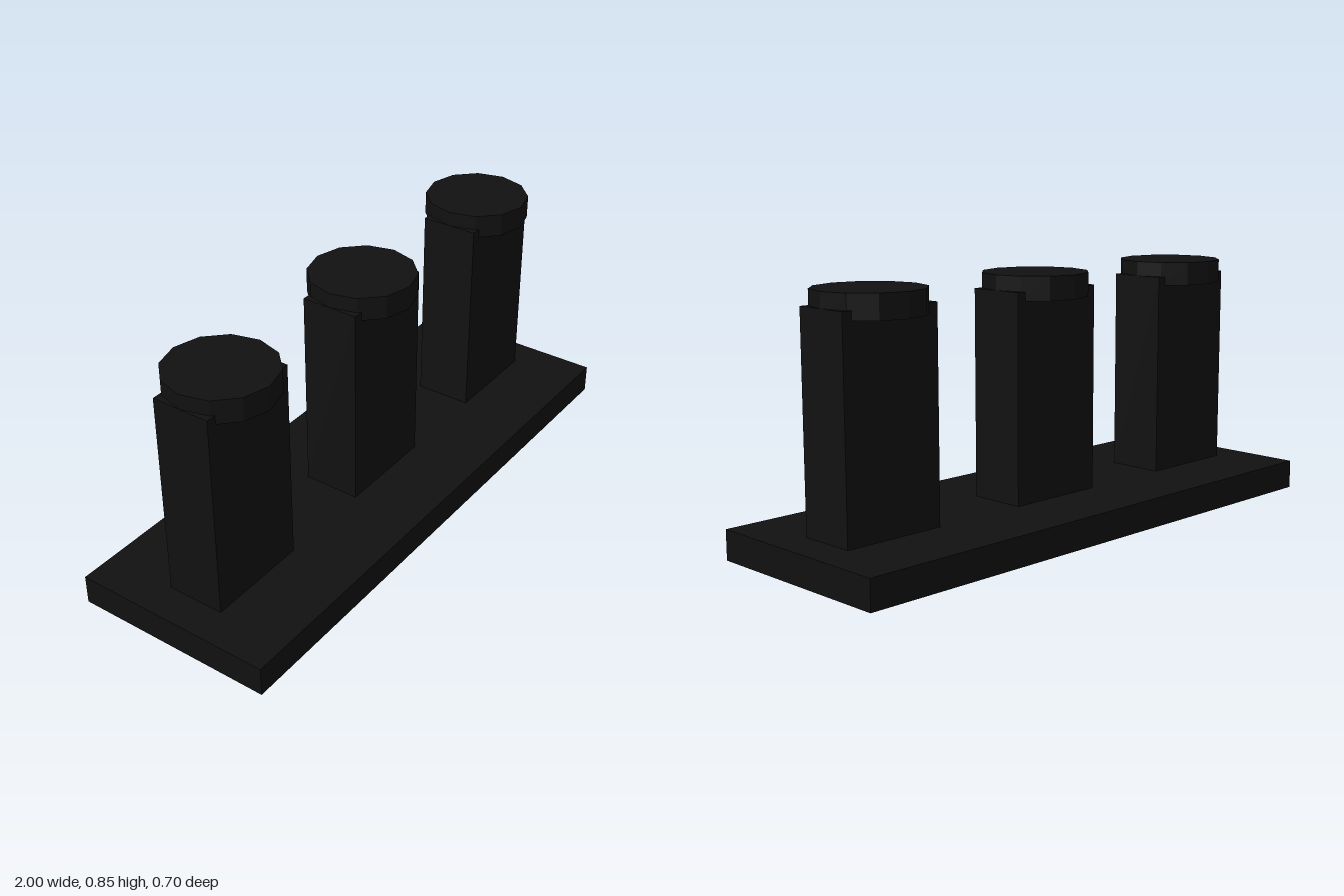
import * as THREE from 'three';

export function createModel() {
  const model = new THREE.Group();
  const material = new THREE.MeshStandardMaterial({ color: 0x111111, flatShading: true });

  function addPart(parent, name, geometry, y) {
    const mesh = new THREE.Mesh(geometry, material);
    mesh.name = name;
    mesh.position.y = y;
    parent.add(mesh);
  }

  // Flat base plate
  addPart(model, 'basePlate', new THREE.BoxGeometry(2, 0.1, 0.7), 0.05);

  // Three posts, each with a twelve-sided cap sunk slightly over the top
  const postGeometry = new THREE.BoxGeometry(0.36, 0.7, 0.2);
  const capGeometry = new THREE.CylinderGeometry(0.18, 0.18, 0.08, 12);
  for (const x of [-0.7, 0, 0.7]) {
    const post = new THREE.Group();
    post.name = 'cappedPost';
    post.position.x = x;
    addPart(post, 'post', postGeometry, 0.45);
    addPart(post, 'cap', capGeometry, 0.81);
    model.add(post);
  }
  return model;
}
